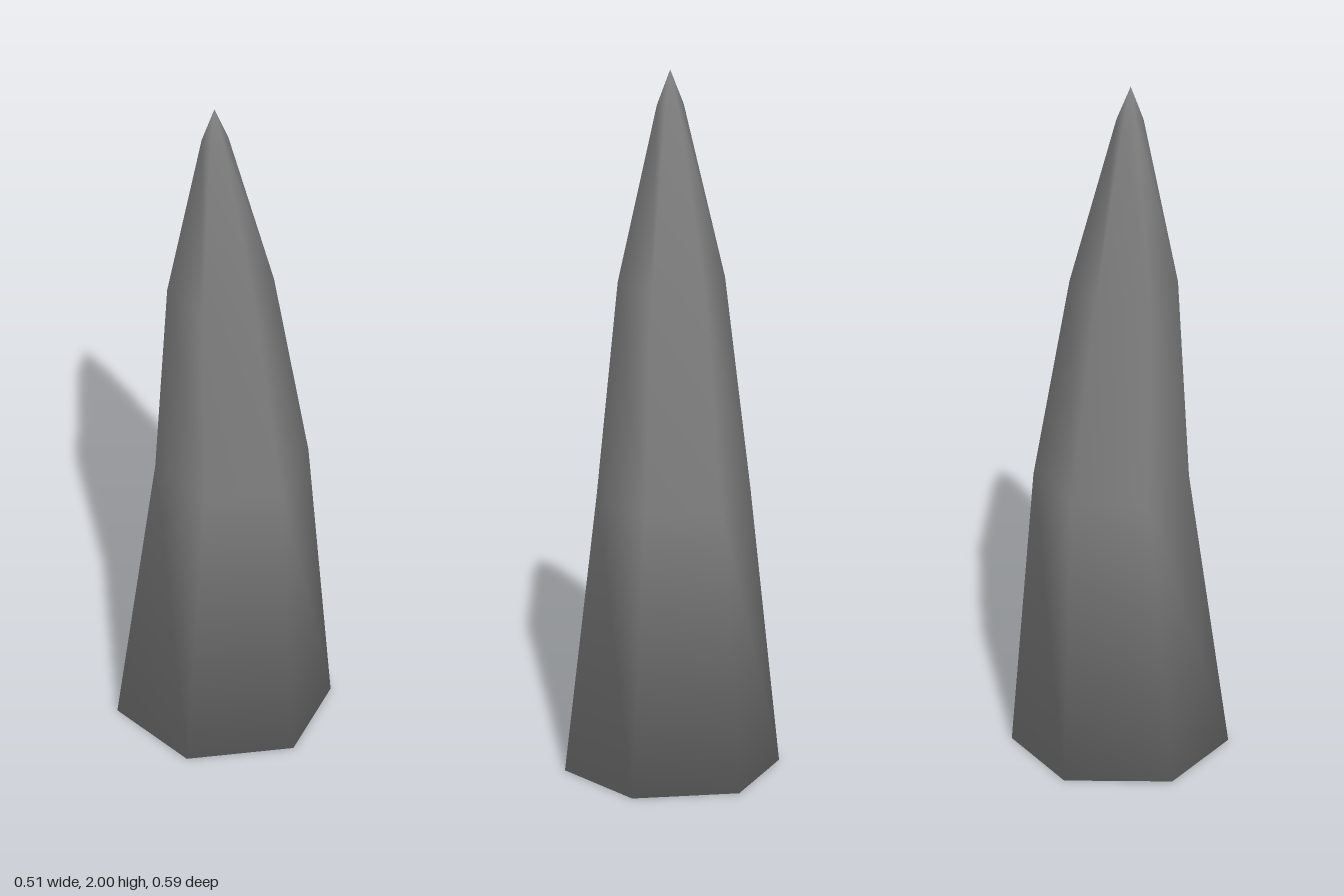
import * as THREE from 'three';

const SIDES = 6;
const TIP = [-0.034, 2, 0];

// Cross-sections from base upwards: [height, radius, sideways shift]
const RINGS = [
  [0, 0.295, 0],
  [0.8, 0.212, 0.028],
  [1.4, 0.148, -0.012],
  [1.9, 0.037, -0.032],
];

// Smooth normals, each face weighted by its angle at the corner
function smoothNormals(points, index) {
  const normals = points.map(() => new THREE.Vector3());
  const triangle = new THREE.Triangle();
  const faceNormal = new THREE.Vector3();
  for (let t = 0; t < index.length; t += 3) {
    const ids = index.slice(t, t + 3);
    triangle.set(...ids.map((id) => points[id]));
    triangle.getNormal(faceNormal);
    ids.forEach((id, k) => {
      const toNext = points[ids[(k + 1) % 3]].clone().sub(points[id]);
      const toLast = points[ids[(k + 2) % 3]].clone().sub(points[id]);
      normals[id].addScaledVector(faceNormal, toNext.angleTo(toLast));
    });
  }
  return normals.flatMap((n) => n.normalize().toArray());
}

function spikeGeometry() {
  // Hexagonal rings with corners on the z axis, then the tip
  const points = [];
  for (const [y, r, shift] of RINGS) {
    for (let i = 0; i < SIDES; i++) {
      const a = (i / SIDES) * Math.PI * 2;
      points.push(new THREE.Vector3(shift + r * Math.sin(a), y, r * Math.cos(a)));
    }
  }
  const tip = points.push(new THREE.Vector3(...TIP)) - 1;

  const index = [];
  for (let i = 0; i < SIDES; i++) {
    const next = (i + 1) % SIDES;
    // Side faces between the rings
    for (let ring = 0; ring < RINGS.length - 1; ring++) {
      const low = ring * SIDES;
      const high = low + SIDES;
      index.push(low + i, low + next, high + i, high + next, high + i, low + next);
    }
    // Point
    const last = (RINGS.length - 1) * SIDES;
    index.push(last + i, last + next, tip);
    // Flat base
    if (i > 0 && next > 0) index.push(0, next, i);
  }

  const geometry = new THREE.BufferGeometry().setFromPoints(points);
  geometry.setIndex(index);
  geometry.setAttribute('normal', new THREE.Float32BufferAttribute(smoothNormals(points, index), 3));
  return geometry;
}

export function createModel() {
  const group = new THREE.Group();
  group.name = 'spike';
  const body = new THREE.Mesh(spikeGeometry(), new THREE.MeshStandardMaterial({ color: 0x808080 }));
  body.name = 'spikeBody';
  group.add(body);
  return group;
}
